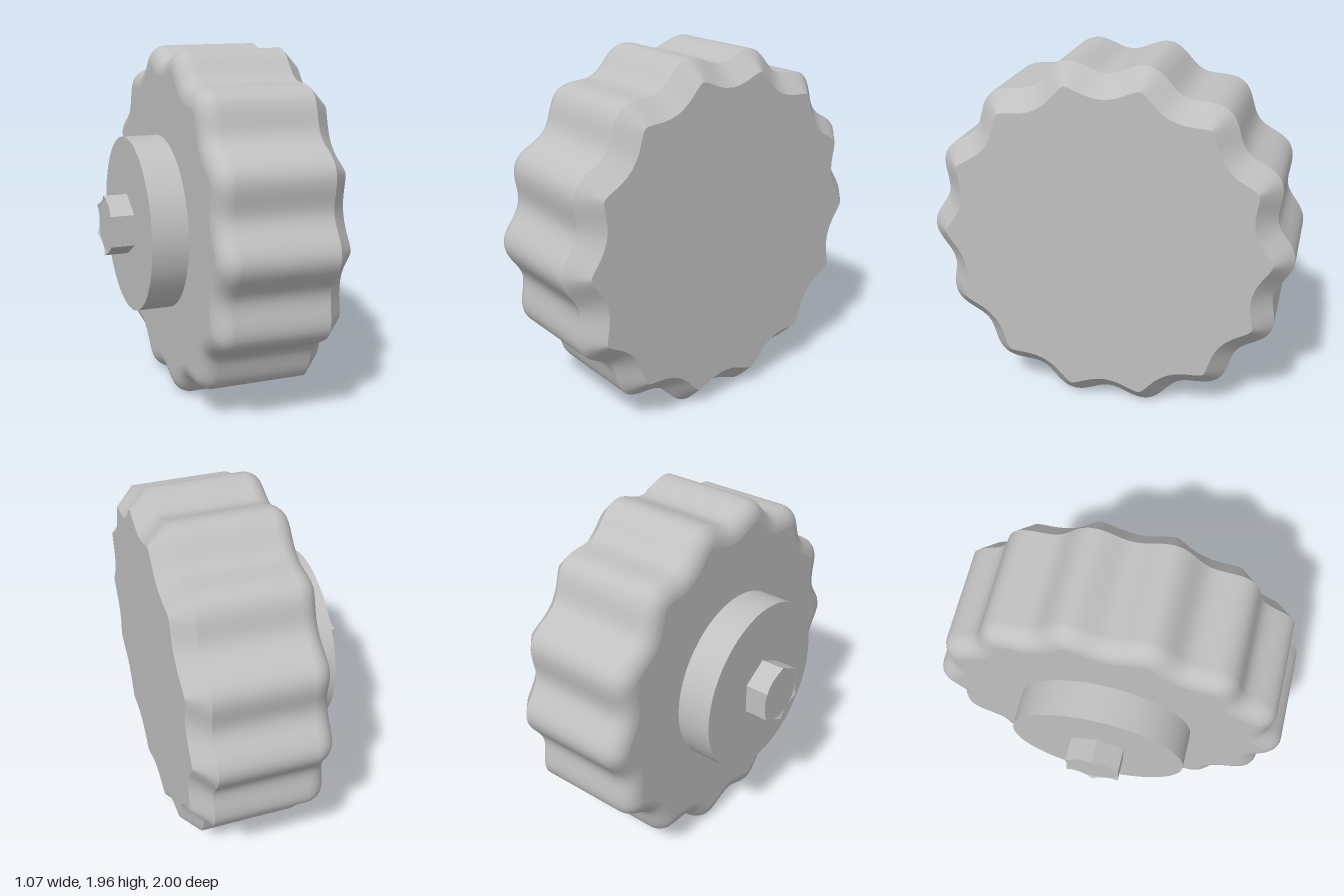
import * as THREE from 'three';

const CY = 0.98;      // height of the knob axis, which runs along x
const LOBES = 14;

// Ring of [y, z] points; pointAt(angle) gives [radial z, radial y]
function ring(x, n, pointAt) {
  return Array.from({ length: n }, (_, i) => {
    const [z, y, dx = 0] = pointAt((i / n) * Math.PI * 2);
    return [x + dx, y + CY, z];
  });
}

// Closed skin through rings ordered from the back pole to the front pole
function loft(rings, flat = false) {
  const n = rings[0].length, index = [];
  for (let r = 0; r < rings.length - 1; r++) {
    for (let i = 0; i < n; i++) {
      const j = (i + 1) % n, a = r * n + i, b = a + n, c = r * n + j, d = c + n;
      index.push(a, b, c, c, b, d);
    }
  }
  let geo = new THREE.BufferGeometry();
  geo.setAttribute('position', new THREE.Float32BufferAttribute(rings.flat(2), 3));
  geo.setIndex(index);
  if (flat) geo = geo.toNonIndexed();
  geo.computeVertexNormals();
  return geo;
}

const circle = (r) => (t) => [r * Math.cos(t), r * Math.sin(t)];

// Scalloped outline moved inward along its normal by a given inset
const scallop = (inset) => (t) => {
  const r = 0.962 + 0.038 * Math.cos(LOBES * t);
  const dr = -0.038 * LOBES * Math.sin(LOBES * t);
  const c = Math.cos(t), s = Math.sin(t);
  const tz = dr * c - r * s, ty = dr * s + r * c, len = Math.hypot(tz, ty);
  return [r * c - (inset * ty) / len, r * s + (inset * tz) / len];
};

// Hexagon with flats towards +z and -z; the end rim follows a shallow cone
const hexagon = (slope) => (t) => {
  const step = Math.PI / 3;
  const r = 0.15 / Math.cos(t - Math.round(t / step) * step);
  return [r * Math.cos(t), r * Math.sin(t), -(r - 0.15) * slope];
};

export function createModel() {
  const knob = new THREE.Group();
  knob.name = 'scallopedKnob';
  const grey = new THREE.MeshStandardMaterial({ color: 0xc0c0c0 });
  grey.name = 'grey';
  const add = (name, geo) => {
    const mesh = new THREE.Mesh(geo, grey);
    mesh.name = name;
    knob.add(mesh);
  };

  // Grip: rounded back edge, straight side, chamfer and flat faces
  const N = LOBES * 16, R = 0.1;
  const sides = [];
  for (let k = 0; k <= 6; k++) {
    const a = (k / 6) * Math.PI / 2;
    sides.push(ring(-0.1 - R * Math.cos(a), N, scallop(R * (1 - Math.sin(a)))));
  }
  sides.push(ring(0.43, N, scallop(0)));
  add('gripSide', loft(sides));
  add('gripChamfer', loft([ring(0.43, N, scallop(0)), ring(0.535, N, scallop(0.106))]));
  add('gripFace', loft([ring(0.535, N, scallop(0.106)), ring(0.535, N, circle(0))]));
  add('gripBack', loft([ring(-0.2, N, circle(0)), ring(-0.2, N, scallop(R))]));

  // Round boss behind the grip
  const boss = new THREE.CylinderGeometry(0.493, 0.493, 0.2, 96);
  boss.rotateZ(Math.PI / 2).translate(-0.3, CY, 0);
  add('boss', boss);

  // Hexagonal stub with a shallow dished end
  add('hexStub', loft([
    ring(-0.525, 48, circle(0)),
    ring(-0.525, 48, circle(0.149)),
    ring(-0.525, 48, hexagon(0.5)),
    ring(-0.4, 48, hexagon(0)),
  ], true));

  return knob;
}
